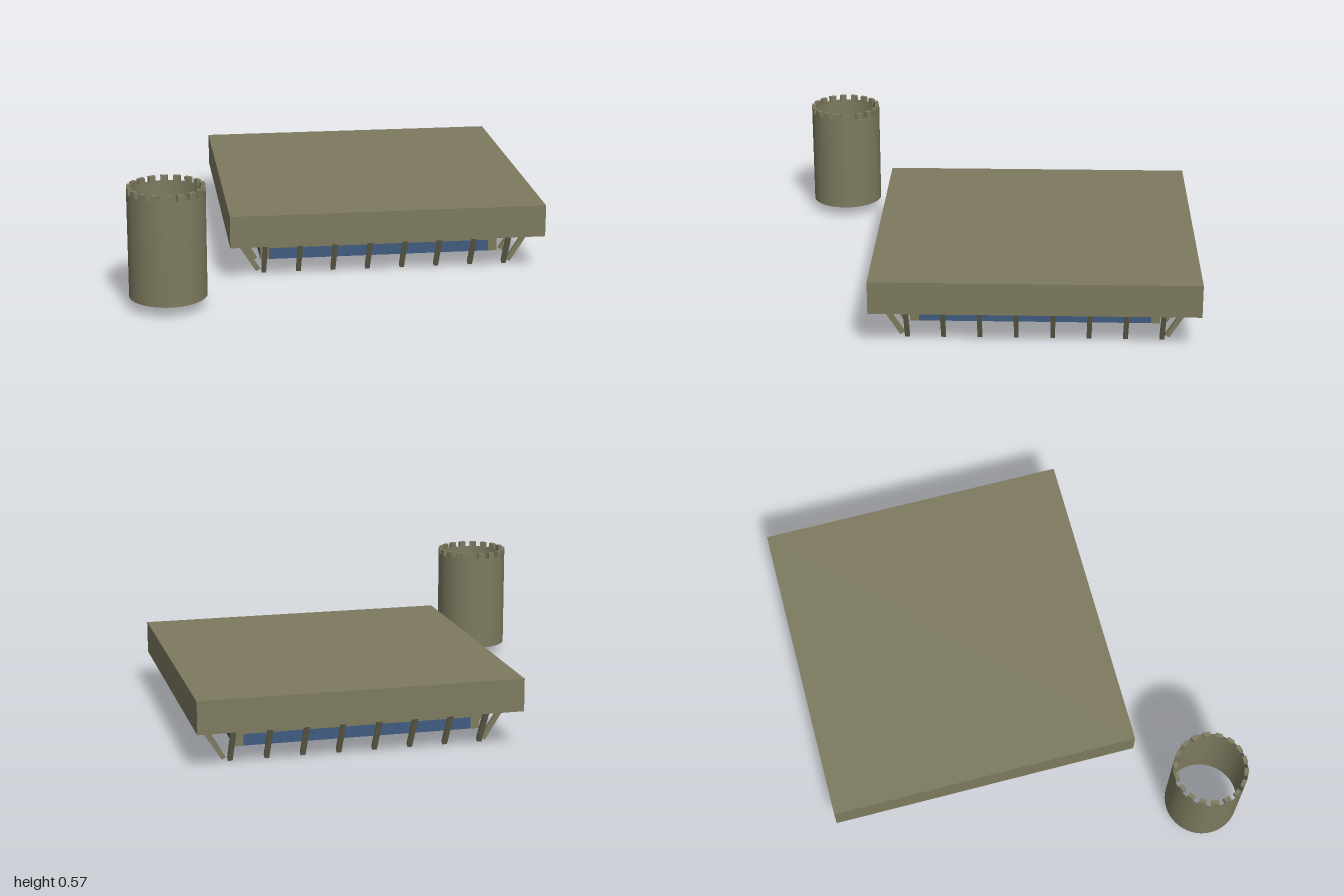
import * as THREE from 'three';

const olive = new THREE.MeshStandardMaterial({ color: 0x7d7a5f });
const oliveThin = new THREE.MeshStandardMaterial({ color: 0x7d7a5f, side: THREE.DoubleSide });
const blue = new THREE.MeshStandardMaterial({ color: 0x3f5c80 });

function add(parent, name, geometry, material, x = 0, y = 0, z = 0) {
  const mesh = new THREE.Mesh(geometry, material);
  mesh.name = name;
  mesh.position.set(x, y, z);
  parent.add(mesh);
  return mesh;
}

// One wall facing local +z: header, end posts, and two rows of window panes
function makeWall(half) {
  const wall = new THREE.Group();
  wall.name = 'wall';
  const t = 0.015, win = 0.5375, y0 = 0.055, y1 = 0.11, top = 0.18;
  const outline = new THREE.Shape([
    [-half, y0], [-win, y0], [-win, y1], [win, y1],
    [win, y0], [half, y0], [half, top], [-half, top],
  ].map(([x, y]) => new THREE.Vector2(x, y)));
  const geo = new THREE.ExtrudeGeometry(outline, { depth: t, bevelEnabled: false });
  add(wall, 'wallPanel', geo, olive, 0, 0, half - t);

  const count = 10, w = 2 * win / count;
  for (let i = 0; i < count; i++) {
    const x = -win + (i + 0.5) * w;
    add(wall, 'lowerPane', new THREE.BoxGeometry(w, 0.037, 0.012), blue, x, 0.0735, half - 0.007);
    add(wall, 'upperPane', new THREE.BoxGeometry(w, 0.018, 0.012), blue, x, 0.101, half - 0.007);
  }
  return wall;
}

// A row of slanted struts that lean out from the ground to the roof edge
function makeStruts() {
  const row = new THREE.Group();
  row.name = 'strutRow';
  const foot = new THREE.Vector2(0.613, 0.008), head = new THREE.Vector2(0.728, 0.188);
  const d = head.clone().sub(foot);
  for (let i = 0; i < 8; i++) {
    const strut = add(row, 'strut', new THREE.BoxGeometry(0.022, d.length(), 0.022), olive,
      (i - 3.5) * 0.168, (foot.y + head.y) / 2, (foot.x + head.x) / 2);
    strut.rotation.x = Math.atan2(d.x, d.y);
  }
  return row;
}

function makeHall() {
  const hall = new THREE.Group();
  hall.name = 'hall';
  add(hall, 'roof', new THREE.BoxGeometry(1.515, 0.155, 1.515), olive, 0, 0.2525, 0);
  const walls = new THREE.Group();
  walls.name = 'walls';
  walls.position.x = -0.02;
  hall.add(walls);
  for (let side = 0; side < 4; side++) {
    const wall = makeWall(0.58), struts = makeStruts();
    wall.rotation.y = struts.rotation.y = side * Math.PI / 2;
    walls.add(wall);
    hall.add(struts);
  }
  hall.position.set(0.2425, 0, -0.2245);
  return hall;
}

// Open round tower with a ring of merlons
function makeTower() {
  const tower = new THREE.Group();
  tower.name = 'tower';
  const r = 0.179, base = 0.055, rim = 0.548, top = 0.575, count = 18;
  add(tower, 'towerWall', new THREE.CylinderGeometry(r, r, rim - base, 64, 1, true),
    oliveThin, 0, (base + rim) / 2, 0);

  const a = Math.PI / count * 0.56;
  const sector = new THREE.Shape();
  sector.absarc(0, 0, r, -a, a, false);
  sector.absarc(0, 0, r - 0.02, a, -a, true);
  sector.closePath();
  const geo = new THREE.ExtrudeGeometry(sector, { depth: top - rim, bevelEnabled: false, curveSegments: 3 });
  geo.rotateX(-Math.PI / 2);
  for (let i = 0; i < count; i++) {
    const merlon = add(tower, 'merlon', geo, olive, 0, rim, 0);
    merlon.rotation.y = Math.PI / 2 + i / count * Math.PI * 2;
  }
  tower.position.set(-0.821, 0, 0.803);
  return tower;
}

export function createModel() {
  const model = new THREE.Group();
  model.name = 'hallAndTower';
  model.add(makeHall(), makeTower());
  return model;
}
